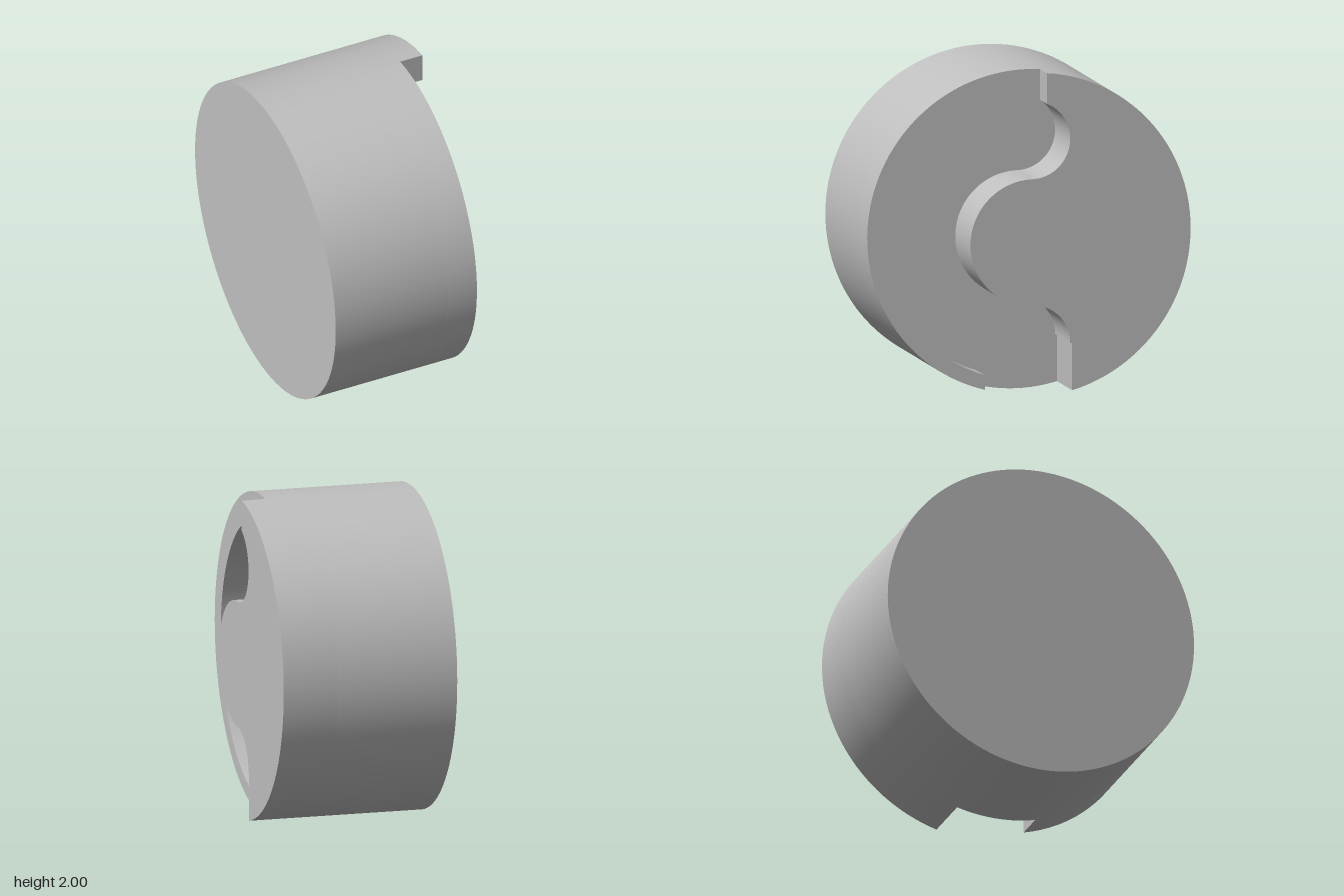
import * as THREE from 'three';
import { toCreasedNormals } from 'three/addons/utils/BufferGeometryUtils.js';

// Points along an arc in the disc plane, from angle a0 to a1 (radians)
function arc(cy, r, a0, a1) {
  const n = Math.max(8, Math.ceil(Math.abs(a1 - a0) / (Math.PI * 2) * 128));
  return Array.from({ length: n + 1 }, (_, i) => {
    const a = a0 + (a1 - a0) * i / n;
    return new THREE.Vector2(r * Math.cos(a), cy + r * Math.sin(a));
  });
}

export function createModel() {
  const group = new THREE.Group();
  const grey = new THREE.MeshStandardMaterial({ color: 0xbfbfbf });
  grey.name = 'plain grey';
  const PI = Math.PI;

  // Extrudes an outline along x; the outline is drawn as seen from +x
  function slab(name, points, x0, x1) {
    const outline = points.filter((p, i) => i === 0 || p.distanceTo(points[i - 1]) > 1e-4);
    let geo = new THREE.ExtrudeGeometry(new THREE.Shape(outline), { depth: x1 - x0, bevelEnabled: false });
    geo = toCreasedNormals(geo, 0.4);
    geo.translate(0, 0, x0).rotateY(PI / 2).translate(0, 1, 0);
    const mesh = new THREE.Mesh(geo, grey);
    mesh.name = name;
    group.add(mesh);
  }

  const floorX = 0.205, rimX = 0.4, topX = 0.55;
  const midY = -0.045, bigR = 0.39, smallR = 0.24, rimR = 0.87;
  const upY = midY + bigR + smallR, lowY = midY - bigR - smallR;
  const topU = 0.092, lowU = 0.252, gapU = -0.258;

  // Angles where the upright cuts meet the outer circle and the channel
  const topA = Math.acos(topU), lowA = -Math.acos(lowU);
  const gapA = 2 * PI - Math.acos(gapU);
  const lobeA = Math.acos(topU / smallR);
  const rimEndA = 2 * PI - Math.acos(gapU / rimR);

  // Round body up to the channel floor
  slab('body', arc(0, 1, 0, 2 * PI).slice(0, -1), -0.55, floorX);

  // Tall half with the S-shaped edge
  slab('raisedBlock', [
    ...arc(0, 1, lowA, topA),
    ...arc(upY, smallR, lobeA, -PI / 2),
    ...arc(midY, bigR, PI / 2, 3 * PI / 2),
    ...arc(lowY, smallR, PI / 2, 0),
    new THREE.Vector2(lowU, lowY),
  ], floorX, topX);

  // Lower crescent rim closing the channel
  slab('crescentRim', [
    ...arc(0, 1, topA, gapA),
    ...arc(midY, rimR, rimEndA, PI / 2),
    ...arc(upY, smallR, PI / 2, lobeA),
  ], floorX, rimX);

  return group;
}
